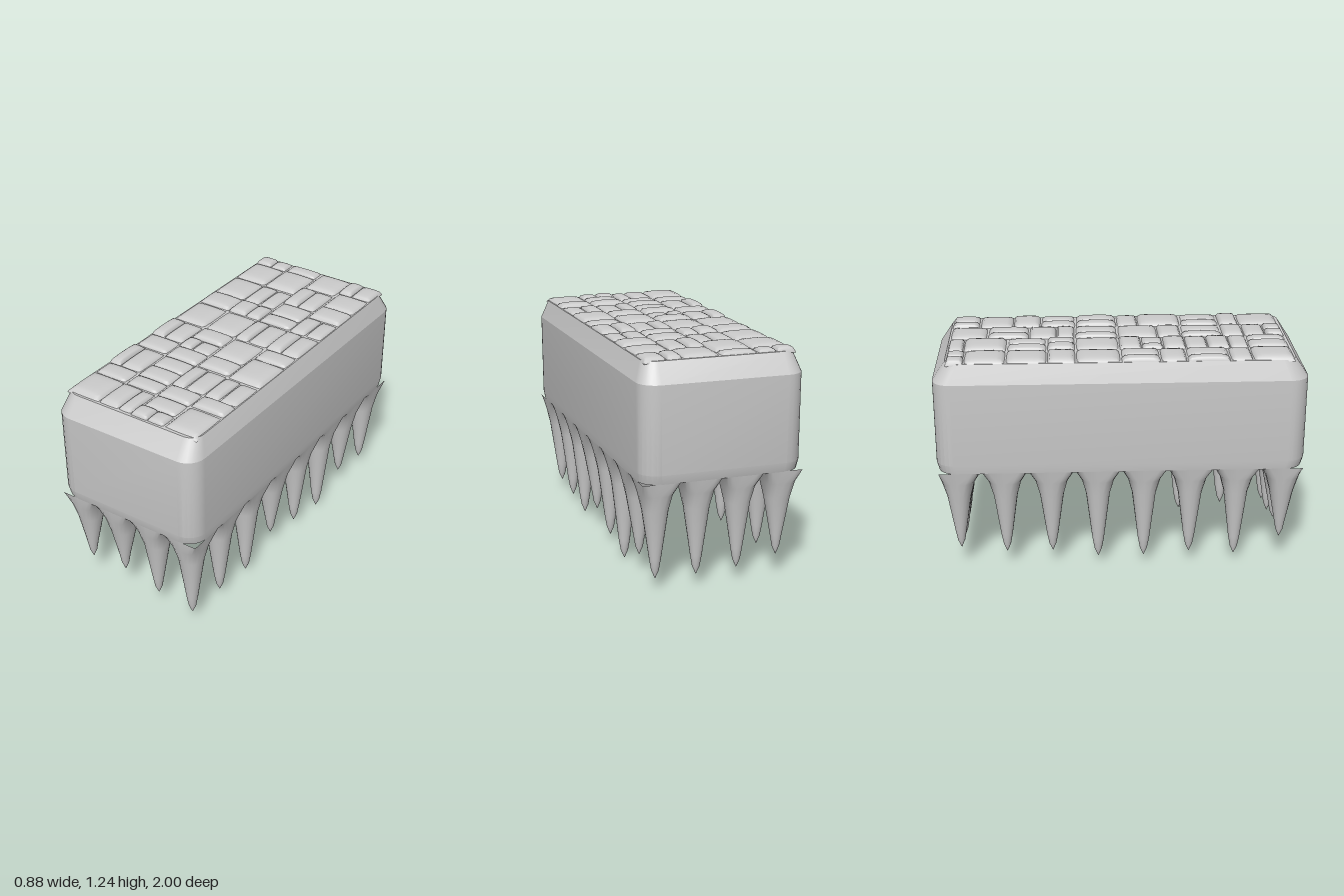
import * as THREE from 'three';
import { toCreasedNormals } from 'three/addons/utils/BufferGeometryUtils.js';

const material = new THREE.MeshStandardMaterial({ color: 0xcccccc });

// Skins a stack of closed rings (arrays of Vector3, bottom to top)
function loft(rings) {
  const n = rings[0].length;
  const index = [];
  for (let r = 0; r < rings.length - 1; r++) {
    for (let i = 0; i < n; i++) {
      const a = r * n + i, b = r * n + (i + 1) % n;
      index.push(a, a + n, b, b, a + n, b + n);
    }
  }
  const geometry = new THREE.BufferGeometry().setFromPoints(rings.flat());
  geometry.setIndex(index);
  geometry.computeVertexNormals();
  return geometry;
}

// Rounded rectangle ring with half sizes hx, hz
function slabRing(y, hx, hz, radius) {
  const points = [];
  for (let corner = 0; corner < 4; corner++) {
    const sx = corner === 0 || corner === 3 ? 1 : -1, sz = corner < 2 ? 1 : -1;
    for (let i = 0; i <= 6; i++) {
      const a = (corner + i / 6) * Math.PI / 2;
      points.push(new THREE.Vector3(
        sx * (hx - radius) + radius * Math.cos(a), y,
        sz * (hz - radius) + radius * Math.sin(a)));
    }
  }
  return points;
}

// Superellipse ring: power 1 is round, smaller is squarer
function spikeRing(x, y, z, hx, hz, power) {
  const bend = v => Math.sign(v) * Math.abs(v) ** power;
  return Array.from({ length: 20 }, (_, i) => {
    const a = i / 20 * Math.PI * 2;
    return new THREE.Vector3(
      THREE.MathUtils.clamp(x + hx * bend(Math.cos(a)), -0.432, 0.432), y,
      THREE.MathUtils.clamp(z + hz * bend(Math.sin(a)), -0.985, 0.985));
  });
}

function makeSpike(x, z, tip) {
  const spike = new THREE.Mesh(loft([
    spikeRing(x, tip, z, 0.001, 0.001, 1),
    spikeRing(x, tip + 0.045, z, 0.02, 0.02, 1),
    spikeRing(x, tip + 0.11, z, 0.031, 0.032, 1),
    spikeRing(x, 0.44, z, 0.068, 0.066, 0.9),
    spikeRing(x, 0.53, z, 0.085, 0.09, 0.7),
    spikeRing(x, 0.603, z, 0.112, 0.127, 0.4),
  ]), material);
  spike.name = 'spike';
  return spike;
}

// Pillow-shaped paving stone covering a rectangle
function makeStone(x0, x1, z0, z1, top) {
  const geometry = new THREE.PlaneGeometry(2, 2, 10, 10).rotateX(-Math.PI / 2);
  const p = geometry.attributes.position;
  for (let i = 0; i < p.count; i++) {
    // bunch the grid lines toward the edges, then drop the edges
    const u = Math.sin(p.getX(i) * Math.PI / 2), v = Math.sin(p.getZ(i) * Math.PI / 2);
    const drop = 0.004 * (u * u + v * v) + 0.026 * Math.max(Math.abs(u), Math.abs(v)) ** 9;
    p.setXYZ(i, (x0 + x1) / 2 + u * (x1 - x0) / 2, top - drop, (z0 + z1) / 2 + v * (z1 - z0) / 2);
  }
  geometry.computeVertexNormals();
  const stone = new THREE.Mesh(geometry, material);
  stone.name = 'pavingStone';
  return stone;
}

export function createModel() {
  const model = new THREE.Group();
  model.name = 'spikedPlatform';

  // Main block with bevelled top and flat underside
  const block = new THREE.Mesh(toCreasedNormals(loft([
    slabRing(0.6, 0.001, 0.001, 0.001),
    slabRing(0.6, 0.43, 0.985, 0.1),
    slabRing(0.65, 0.437, 0.998, 0.1),
    slabRing(1.11, 0.44, 1, 0.1),
    slabRing(1.215, 0.405, 0.93, 0.07),
    slabRing(1.215, 0.001, 0.001, 0.001),
  ]), 0.29), material);
  block.name = 'block';
  model.add(block);

  // Spikes hanging around the rim, tip heights listed from back to front
  const spikes = new THREE.Group();
  spikes.name = 'spikes';
  const leftTips = [0.07, 0.11, 0, 0.05, 0.12, 0.02, 0.05, 0.07];
  const rightTips = [0.12, 0.09, 0.09, 0.05, 0.05, 0.07, 0.05, 0.15];
  for (let i = 0; i < 8; i++) {
    const z = -0.885 + i * 0.253;
    spikes.add(makeSpike(0.335, z, leftTips[i]), makeSpike(-0.335, z, rightTips[i]));
  }
  spikes.add(makeSpike(0.112, -0.885, 0.065), makeSpike(-0.112, -0.885, 0.075));
  spikes.add(makeSpike(0.112, 0.885, 0.1), makeSpike(-0.112, 0.885, 0.16));
  model.add(spikes);

  // Cobbled top: four columns, each cut at its own z lines
  const paving = new THREE.Group();
  paving.name = 'paving';
  const columns = [
    [-0.925, -0.83, -0.61, -0.39, -0.24, 0, 0.21, 0.35, 0.58, 0.7, 0.92],
    [-0.925, -0.84, -0.61, -0.39, -0.24, 0, 0.12, 0.24, 0.36, 0.48, 0.6, 0.7, 0.92],
    [-0.925, -0.72, -0.49, -0.34, -0.24, 0, 0.22, 0.35, 0.58, 0.7, 0.82, 0.92],
    [-0.925, -0.77, -0.58, -0.43, -0.23, 0, 0.12, 0.36, 0.58, 0.69, 0.92],
  ];
  // Stones split in two across x, as the share of the first half
  const splits = [
    { 0: 0.5, 5: 0.4, 7: 0.35 },
    { 2: 0.5, 3: 0.55, 6: 0.4, 11: 0.6 },
    { 1: 0.45, 4: 0.4, 7: 0.4, 10: 0.5 },
    { 0: 0.4, 3: 0.5, 4: 0.45, 7: 0.45 },
  ];
  columns.forEach((cuts, c) => {
    const x0 = -0.405 + c * 0.2025, x1 = x0 + 0.2025;
    for (let r = 0; r < cuts.length - 1; r++) {
      const top = 1.237 + 0.003 * Math.sin(c * 5 + r * 3);
      const xm = x0 + (x1 - x0) * (splits[c][r] ?? 1);
      paving.add(makeStone(x0, xm, cuts[r], cuts[r + 1], top));
      if (xm < x1) paving.add(makeStone(xm, x1, cuts[r], cuts[r + 1], top - 0.004));
    }
  });
  model.add(paving);
  return model;
}
